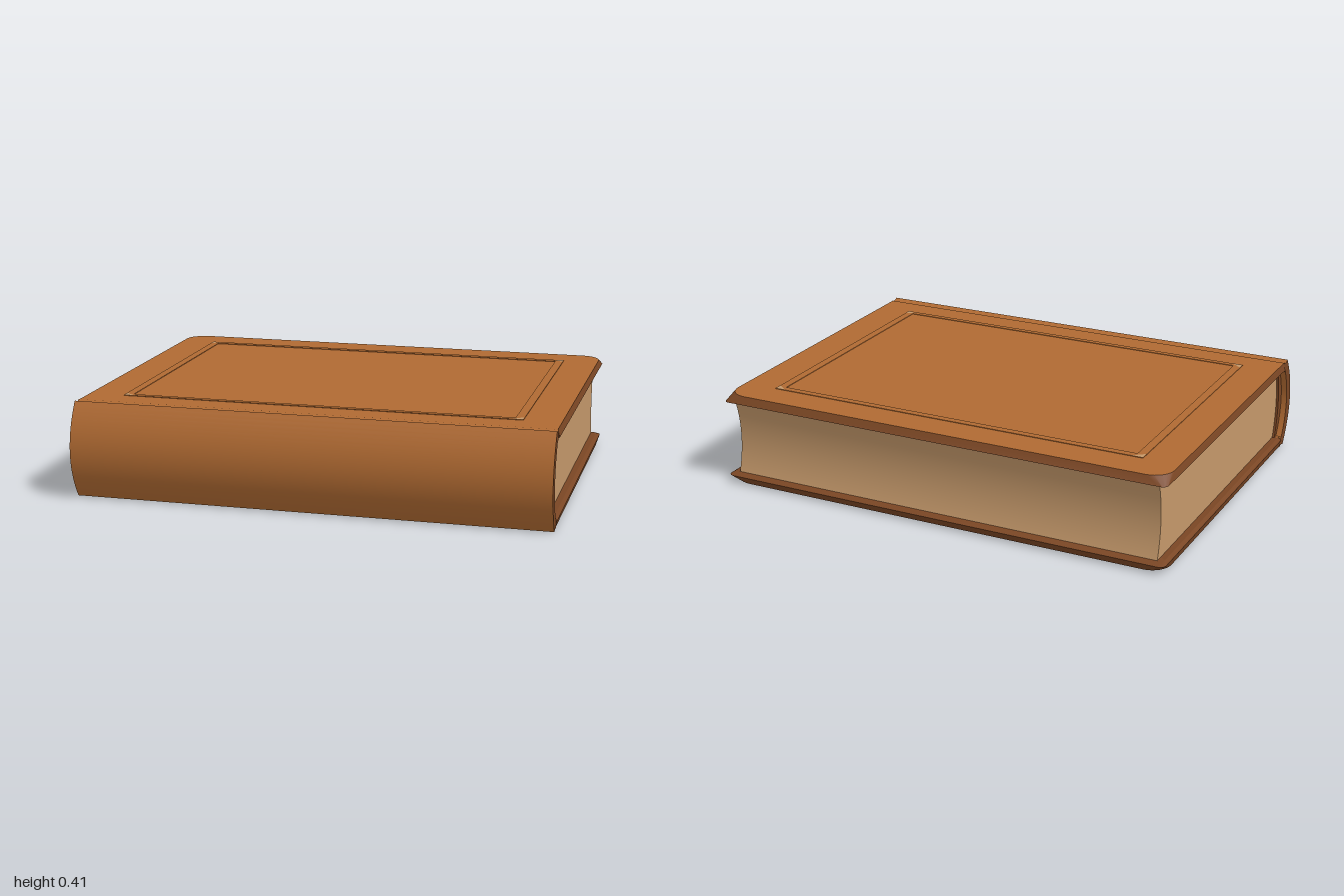
import * as THREE from 'three';
import { toCreasedNormals } from 'three/addons/utils/BufferGeometryUtils.js';

const H = 0.405, HINGE = 0.65;

const paint = (name, color) => {
  const m = new THREE.MeshStandardMaterial({ color });
  m.name = name;
  return m;
};

// Extrudes a (z, y) cross-section along x, centred
function alongX(shape, width) {
  const g = new THREE.ExtrudeGeometry(shape, { depth: width, bevelEnabled: false, curveSegments: 24 });
  g.translate(0, 0, -width / 2).rotateY(-Math.PI / 2);
  return toCreasedNormals(g, 0.5);
}

// Board outline with rounded corners at the back only
function outline(hx, back, r) {
  const pts = [[hx, HINGE]];
  for (const side of [1, -1]) {
    for (let i = 0; i <= 8; i++) {
      const a = (side > 0 ? i : 8 - i) / 8 * Math.PI / 2;
      pts.push([side * (hx - r + r * Math.cos(a)), back + r - r * Math.sin(a)]);
    }
  }
  pts.push([-hx, HINGE]);
  return pts;
}

// Board with sloping edges; groups: 0 outer face, 1 edges and inner face
function boardGeometry() {
  const rings = [
    [0.36, outline(0.985, -0.73, 0.02)],
    [0.37, outline(1, -0.76, 0.025)],
    [0.402, outline(0.992, -0.742, 0.085)],
  ].map(([y, pts]) => pts.map(([x, z]) => [x, y, z]));
  const pos = [], n = rings[0].length;
  const tri = (...c) => c.forEach((p) => pos.push(...p));
  const top = rings[2], low = rings[0];
  for (let i = 0; i < n; i++) tri([0, 0.402, 0], top[i], top[(i + 1) % n]);
  const split = pos.length / 3;
  for (let i = 0; i < n; i++) {
    const j = (i + 1) % n;
    tri([0, 0.36, 0], low[j], low[i]);
    for (let k = 0; k < 2; k++) {
      const a = rings[k], b = rings[k + 1];
      tri(a[i], a[j], b[j]);
      tri(a[i], b[j], b[i]);
    }
  }
  const g = new THREE.BufferGeometry();
  g.setAttribute('position', new THREE.Float32BufferAttribute(pos, 3));
  g.addGroup(0, split, 0);
  g.addGroup(split, pos.length / 3 - split, 1);
  g.computeVertexNormals();
  return toCreasedNormals(g, 0.5);
}

// Flat rectangle path in x and -z
function rect(path, hx, z0, z1) {
  path.moveTo(-hx, -z1);
  path.lineTo(hx, -z1);
  path.lineTo(hx, -z0);
  path.lineTo(-hx, -z0);
  path.closePath();
  return path;
}

export function createModel() {
  const book = new THREE.Group();
  book.name = 'book';
  const leather = paint('leather', 0xb06a32);
  const edge = paint('darkLeatherEdge', 0x7a4624);
  const paper = paint('paper', 0xc4986a);
  const add = (parent, name, geo, mat) => {
    const m = new THREE.Mesh(geo, mat);
    m.name = name;
    parent.add(m);
    return m;
  };

  // Rounded spine with a shallow hinge groove on each side
  const spine = new THREE.Shape();
  spine.moveTo(HINGE, 0.36);
  spine.lineTo(HINGE, 0.402);
  spine.lineTo(0.658, 0.397);
  spine.lineTo(0.672, 0.397);
  spine.lineTo(0.69, H);
  spine.quadraticCurveTo(0.83, H / 2, 0.69, 0);
  spine.lineTo(0.672, 0.008);
  spine.lineTo(0.658, 0.008);
  spine.lineTo(HINGE, 0.003);
  spine.lineTo(HINGE, 0.045);
  spine.lineTo(0.665, 0.045);
  spine.quadraticCurveTo(0.755, H / 2, 0.665, 0.36);
  add(book, 'spine', alongX(spine, 1.99), [edge, leather]);

  // Lining between the spine and the pages
  const lining = new THREE.Shape();
  lining.moveTo(0.64, 0.04);
  lining.lineTo(0.665, 0.04);
  lining.quadraticCurveTo(0.76, H / 2, 0.665, 0.365);
  lining.lineTo(0.64, 0.365);
  lining.quadraticCurveTo(0.7, H / 2, 0.64, 0.04);
  add(book, 'spineLining', alongX(lining, 1.94), edge);

  // Page block: hollow fore edge at the back, rounded at the spine
  const pages = new THREE.Shape();
  pages.moveTo(-0.73, 0.04);
  pages.lineTo(0.665, 0.04);
  pages.quadraticCurveTo(0.71, H / 2, 0.665, 0.365);
  pages.lineTo(-0.73, 0.365);
  pages.quadraticCurveTo(-0.675, H / 2, -0.73, 0.04);
  add(book, 'pages', alongX(pages, 1.92), paper);

  // Raised border and small corner inlays on a cover
  const border = rect(new THREE.Shape(), 0.84, -0.605, 0.54);
  border.holes.push(rect(new THREE.Path(), 0.805, -0.575, 0.515));
  const borderGeo = new THREE.ExtrudeGeometry(border, { depth: 0.003, bevelEnabled: false });
  borderGeo.rotateX(-Math.PI / 2).translate(0, 0.4015, 0);
  const board = boardGeometry();

  const makeCover = (name) => {
    const cover = new THREE.Group();
    cover.name = name;
    add(cover, 'board', board, [leather, edge]);
    add(cover, 'border', borderGeo, leather);
    for (const sx of [-1, 1]) {
      for (const [z, sz] of [[-0.603, 1], [0.538, -1]]) {
        const corner = new THREE.Shape([[0, 0], [0.045, 0], [0, 0.035]].map(
          ([u, v]) => new THREE.Vector2(sx * (0.838 - u), -(z + sz * v))));
        const geo = new THREE.ShapeGeometry(corner);
        geo.rotateX(-Math.PI / 2).translate(0, 0.405, 0);
        add(cover, 'cornerInlay', geo, paper);
      }
    }
    book.add(cover);
    return cover;
  };
  makeCover('topCover');
  const bottom = makeCover('bottomCover');
  bottom.rotation.z = Math.PI;
  bottom.position.y = H;

  return book;
}
